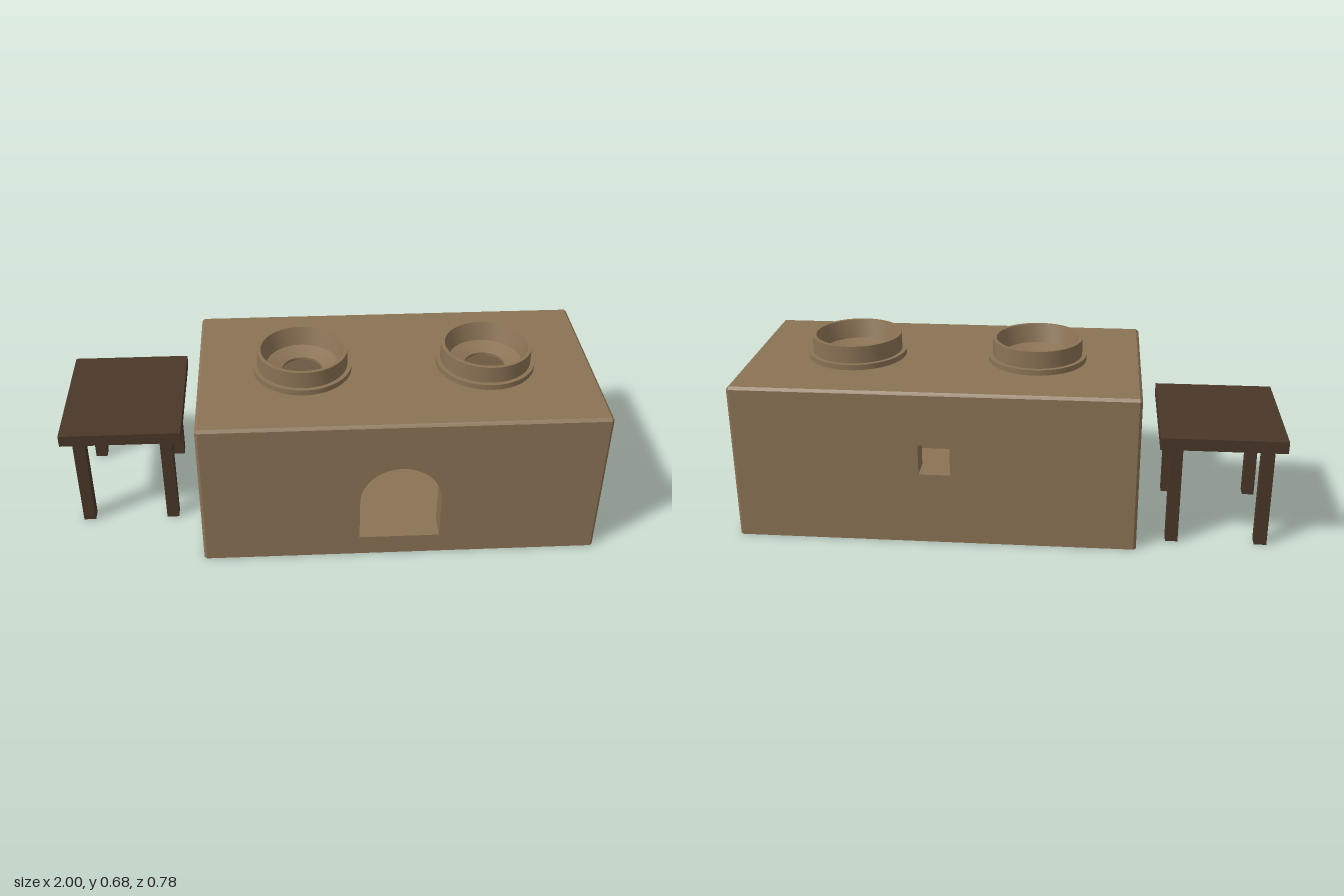
import * as THREE from 'three';
import { toCreasedNormals } from 'three/addons/utils/BufferGeometryUtils.js';

const X0 = -0.48, X1 = 1.0, Z = 0.39, H = 0.592, C = 0.01, WALL = 0.09;
const BURNERS = [-0.09, 0.6];

export function createModel() {
  const model = new THREE.Group();
  const clay = new THREE.MeshStandardMaterial({ color: 0x8b7355 });
  clay.name = 'clay';
  const wood = new THREE.MeshStandardMaterial({ color: 0x4a3728 });
  wood.name = 'darkWood';

  const add = (parent, name, geometry, material) => {
    const mesh = new THREE.Mesh(geometry, material);
    mesh.name = name;
    parent.add(mesh);
    return mesh;
  };
  // box given by its minimum and maximum on each axis
  const span = (x0, x1, y0, y1, z0, z1) =>
    new THREE.BoxGeometry(x1 - x0, y1 - y0, z1 - z0)
      .translate((x0 + x1) / 2, (y0 + y1) / 2, (z0 + z1) / 2);
  const rect = (Type, x0, x1, y0, y1) => new Type()
    .moveTo(x0, y0).lineTo(x1, y0).lineTo(x1, y1).lineTo(x0, y1).lineTo(x0, y0);
  const slab = (shape, depth) =>
    new THREE.ExtrudeGeometry(shape, { depth, bevelEnabled: false, curveSegments: 32 });

  const stove = new THREE.Group();
  stove.name = 'stove';
  model.add(stove);

  // front wall with the arched fire door
  const front = rect(THREE.Shape, X0 + C, X1 - C, 0, H - C);
  const arch = new THREE.Path();
  arch.moveTo(0.105, 0.08);
  arch.lineTo(0.405, 0.08);
  arch.lineTo(0.405, 0.25);
  arch.absarc(0.255, 0.25, 0.15, 0, Math.PI, false);
  arch.lineTo(0.105, 0.08);
  front.holes.push(arch);
  add(stove, 'frontWall', slab(front, WALL).translate(0, 0, Z - WALL), clay);

  // back wall with the square vent
  const back = rect(THREE.Shape, X0 + C, X1 - C, 0, H - C);
  back.holes.push(rect(THREE.Path, 0.2, 0.315, 0.275, 0.39));
  add(stove, 'backWall', slab(back, WALL).translate(0, 0, -Z), clay);

  // side walls and chamber floor
  add(stove, 'rightWall', span(X0, X0 + WALL, 0, H - C, C - Z, Z - C), clay);
  add(stove, 'leftWall', span(X1 - WALL, X1, 0, H - C, C - Z, Z - C), clay);
  add(stove, 'chamberFloor', span(X0 + WALL, X1 - WALL, 0, 0.06, WALL - Z, Z - WALL), clay);

  // top slab, open under each burner
  const lid = rect(THREE.Shape, X0 + C, X1 - C, C - Z, Z - C);
  for (const x of BURNERS) {
    lid.holes.push(new THREE.Path().absarc(x, 0, 0.155, 0, Math.PI * 2, false));
  }
  add(stove, 'topSlab', slab(lid, 0.05).rotateX(-Math.PI / 2).translate(0, H - 0.05, 0), clay);

  add(stove, 'chamferedEdges', chamferGeometry(), clay);

  // burner collars with a stepped seat and a central flue
  const profile = [
    [0.185, H - 0.01], [0.185, 0.613], [0.169, 0.613], [0.169, 0.678], [0.155, 0.678],
    [0.135, 0.61], [0.075, 0.59], [0.075, 0.58], [0.16, 0.575],
  ].map(([r, y]) => new THREE.Vector2(r, y));
  const collar = toCreasedNormals(new THREE.LatheGeometry(profile, 48), 0.3);
  for (const x of BURNERS) add(stove, 'burner', collar, clay).position.x = x;

  // side table
  const table = new THREE.Group();
  table.name = 'sideTable';
  model.add(table);
  add(table, 'tableTop', span(-1, -0.55, 0.39, 0.435, -0.355, 0.18), wood);
  for (const x of [-0.938, -0.612]) {
    for (const z of [-0.292, 0.117]) {
      add(table, 'tableLeg', span(x - 0.023, x + 0.023, 0, 0.39, z - 0.023, z + 0.023), wood);
    }
  }
  return model;
}

// narrow chamfers along the upright corners and around the top
function chamferGeometry() {
  const ring = (y, inset) => {
    const out = [];
    const a = X0 + C, b = X1 - C, c = Z - C, o = C - inset;
    out.push([a, y, c + o], [b, y, c + o], [b + o, y, c], [b + o, y, -c]);
    out.push([b, y, -c - o], [a, y, -c - o], [a - o, y, -c], [a - o, y, c]);
    return out;
  };
  const low = ring(0, 0), mid = ring(H - C, 0), top = ring(H, C);
  const pos = [];
  const quad = (a, b, c, d) => pos.push(...a, ...b, ...c, ...a, ...c, ...d);
  for (let i = 0; i < 8; i++) {
    const j = (i + 1) % 8;
    if (i % 2) {
      quad(low[i], low[j], mid[j], mid[i]);
      pos.push(...mid[i], ...mid[j], ...top[i]);
    } else {
      quad(mid[i], mid[j], top[j], top[i]);
    }
  }
  const g = new THREE.BufferGeometry();
  g.setAttribute('position', new THREE.Float32BufferAttribute(pos, 3));
  g.computeVertexNormals();
  return g;
}
